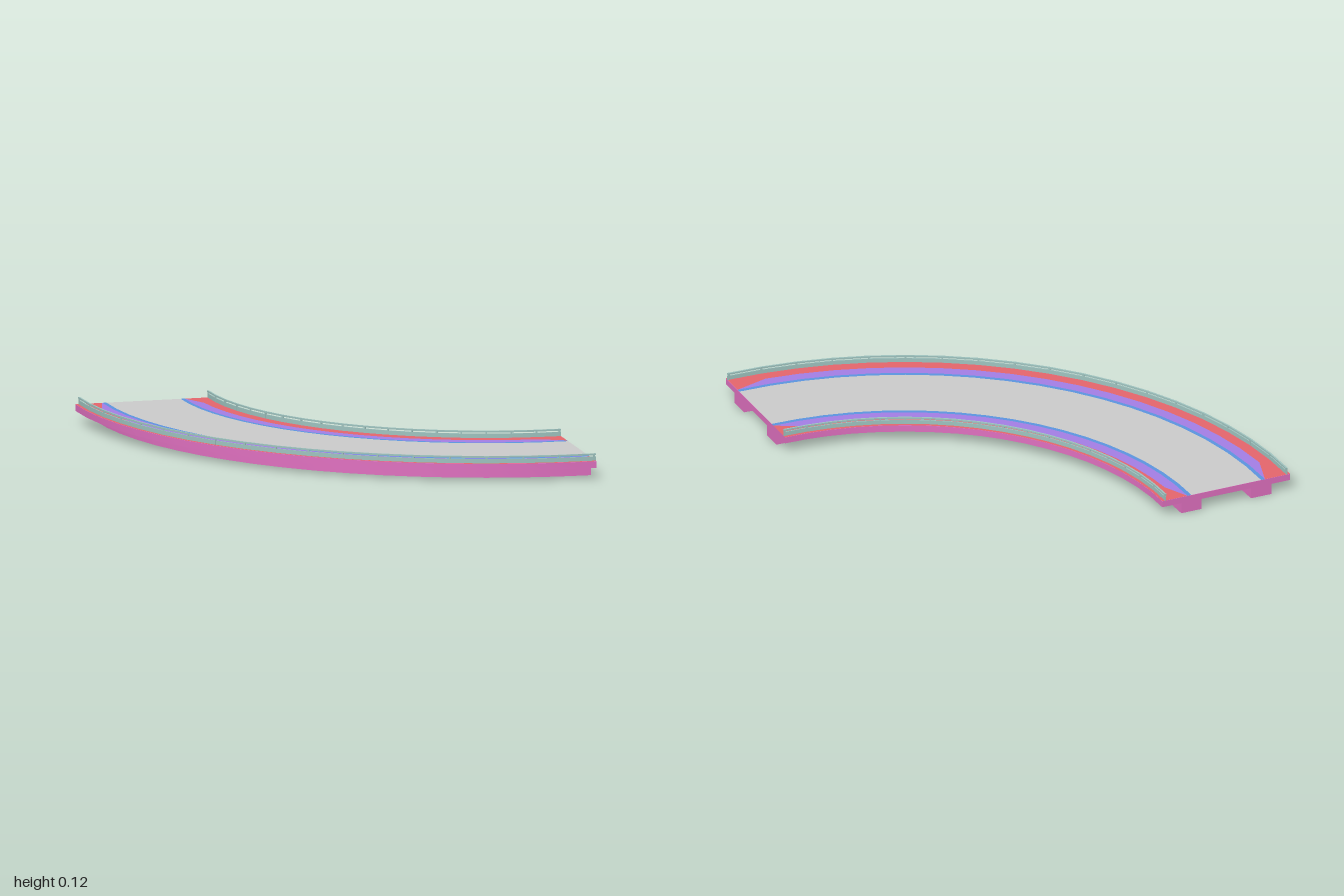
import * as THREE from 'three';
import { toCreasedNormals, mergeGeometries } from 'three/addons/utils/BufferGeometryUtils.js';

const CX = 0.995, CZ = -0.995; // centre of the bend
const MID = 1.66;              // radius of the road's centre line
const HALF = 0.33;             // half width of the deck
const SEG = 18;
const TOP = 0.085;

const mat = (color, extra = {}) => new THREE.MeshStandardMaterial({ color, ...extra });
const pink = mat(0xe070c0);
const teal = mat(0x9fc4c0);
const grey = mat(0xcccccc);
const red = mat(0xe5666c);
const purple = mat(0xa47ee5);
const blue = mat(0x5c95e0);

// Quarter-turn sweep of a closed (radius, height) profile, counter-clockwise, with end caps
function sweep(profile) {
  const pts = profile.map(([r, y]) => new THREE.Vector2(r, y));
  const side = toCreasedNormals(
    new THREE.LatheGeometry([...pts, pts[0].clone()], SEG, Math.PI * 1.5, Math.PI / 2), 0.5);
  const capA = new THREE.ShapeGeometry(new THREE.Shape(pts)).rotateY(Math.PI);
  const mirrored = pts.map(p => new THREE.Vector2(-p.x, p.y));
  const capB = new THREE.ShapeGeometry(new THREE.Shape(mirrored)).rotateY(Math.PI / 2);
  return mergeGeometries([side, capA.toNonIndexed(), capB.toNonIndexed()]);
}

const ring = (r0, r1, y0, y1) => sweep([[r0, y0], [r1, y0], [r1, y1], [r0, y1]]);

// Flat painted band between two radii, each a function of the segment index
function band(inner, outer) {
  const pos = [], idx = [];
  for (let i = 0; i <= SEG; i++) {
    const a = (i / SEG) * Math.PI / 2;
    for (const r of [inner(i), outer(i)]) pos.push(-r * Math.cos(a), TOP, r * Math.sin(a));
    if (i < SEG) {
      const k = i * 2;
      idx.push(k, k + 1, k + 2, k + 1, k + 3, k + 2);
    }
  }
  const g = new THREE.BufferGeometry();
  g.setAttribute('position', new THREE.Float32BufferAttribute(pos, 3));
  g.setIndex(idx);
  g.computeVertexNormals();
  return g;
}

export function createModel() {
  const group = new THREE.Group();
  group.name = 'curvedRoad';
  const bend = new THREE.Group();
  bend.name = 'bend';
  bend.position.set(CX, 0, CZ);
  group.add(bend);
  const add = (name, geometry, material) => {
    const mesh = new THREE.Mesh(geometry, material);
    mesh.name = name;
    bend.add(mesh);
    return mesh;
  };

  // Deck slab
  add('deck', ring(MID - HALF, MID + HALF, 0.053, TOP - 0.001), pink);

  // Road surface; the shoulder strip narrows to nothing at both ends
  const at = d => () => MID + d;
  const shoulder = s => i => MID + s * (i === 0 || i === SEG ? 0.2 : 0.255);
  add('roadway', band(at(-0.18), at(0.18)), grey);
  for (const s of [-1, 1]) {
    const side = s > 0 ? 'outer' : 'inner';
    const strip = (name, a, b, m) => add(side + name, s > 0 ? band(a, b) : band(b, a), m);
    strip('EdgeLine', at(s * 0.18), at(s * 0.2), blue);
    strip('Shoulder', at(s * 0.2), shoulder(s), purple);
    strip('Kerb', shoulder(s), at(s * HALF), red);

    // Support beam under the deck
    const b = MID + s * 0.18;
    add(side + 'Beam', ring(b - 0.052, b + 0.052, 0, 0.054), pink);

    // Guard rail: low wall, top rail and posts
    const r = MID + s * 0.313;
    add(side + 'Barrier', ring(r - 0.003, r + 0.003, TOP - 0.001, 0.105), teal);
    add(side + 'TopRail', ring(r - 0.004, r + 0.004, 0.111, 0.119), teal);
    const posts = [];
    for (let i = 0; i <= SEG; i++) {
      const a = THREE.MathUtils.clamp((i / SEG) * Math.PI / 2, 0.004, Math.PI / 2 - 0.004);
      posts.push(new THREE.BoxGeometry(0.007, 0.03, 0.008)
        .translate(-r, 0.1, 0).rotateY(a));
    }
    add(side + 'RailPosts', mergeGeometries(posts), teal);
  }
  return group;
}
